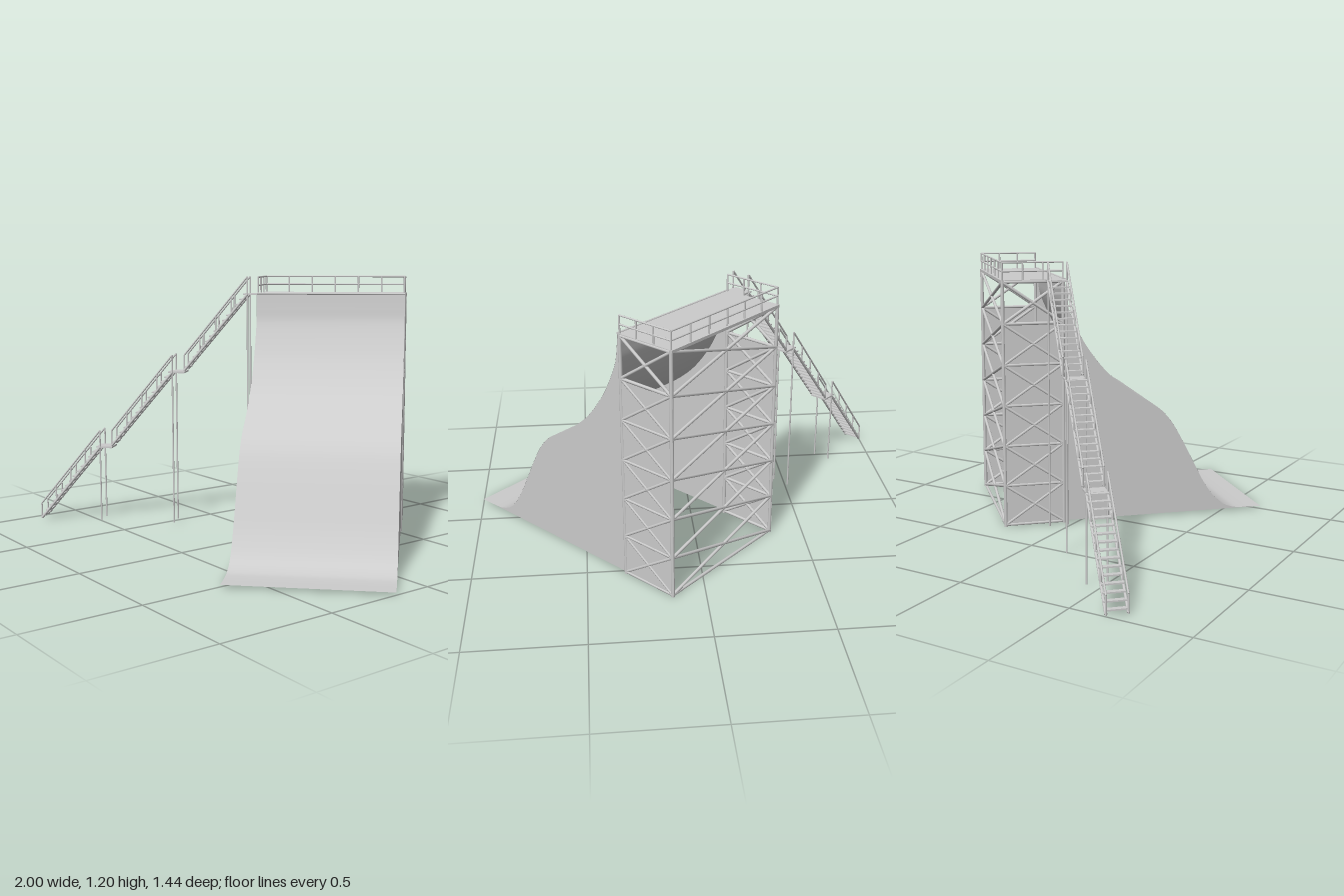
import * as THREE from 'three';

export function createModel() {
  const model = new THREE.Group();
  model.name = 'ski jump ramp tower';
  // Working frame: x across the ramp, z down the ramp, origin under the front deck edge
  const frame = new THREE.Group();
  frame.name = 'structure';
  frame.position.set(0.09, 0, -0.2775);
  frame.rotation.y = 0.767;
  model.add(frame);

  const grey = new THREE.MeshStandardMaterial({ color: 0xcccccc, side: THREE.DoubleSide });
  grey.name = 'light grey';

  const HALF = 0.344, DEPTH = 0.286, TOP = 1.12, RAIL = 1.196;

  function add(name, geometry, parent = frame) {
    const mesh = new THREE.Mesh(geometry, grey);
    mesh.name = name;
    parent.add(mesh);
    return mesh;
  }
  function group(name) {
    const g = new THREE.Group();
    g.name = name;
    frame.add(g);
    return g;
  }
  // Round bar between two points
  function bar(name, a, b, r, parent) {
    const p = new THREE.Vector3(...a), q = new THREE.Vector3(...b);
    const d = q.clone().sub(p);
    const mesh = add(name, new THREE.CylinderGeometry(r, r, d.length(), 8), parent);
    mesh.position.copy(p).add(q).multiplyScalar(0.5);
    mesh.quaternion.setFromUnitVectors(new THREE.Vector3(0, 1, 0), d.normalize());
  }
  function box(name, size, pos, parent) {
    add(name, new THREE.BoxGeometry(...size), parent).position.set(...pos);
  }

  // Ramp profile as (z, y)
  const curve = new THREE.SplineCurve([
    [0, 1.115], [0.007, 1.05], [0.02, 0.98], [0.069, 0.87], [0.118, 0.79], [0.186, 0.705],
    [0.26, 0.638], [0.34, 0.581], [0.432, 0.525], [0.48, 0.48], [0.517, 0.43], [0.565, 0.345],
    [0.611, 0.255], [0.67, 0.145], [0.735, 0.058], [0.8, 0.022], [0.86, 0.013], [0.956, 0.011],
  ].map(([z, y]) => new THREE.Vector2(z, y)));
  const profile = curve.getPoints(68);

  // Curved riding surface
  const surface = new THREE.PlaneGeometry(2 * HALF, 1, 1, profile.length - 1);
  const pos = surface.attributes.position;
  for (let i = 0; i < pos.count; i++) {
    const p = profile[Math.floor(i / 2)];
    pos.setXYZ(i, pos.getX(i), p.y, p.x);
  }
  surface.computeVertexNormals();
  add('ramp surface', surface);

  // Side walls below the ramp, running back along the tower
  const wall = new THREE.Shape([
    new THREE.Vector2(-DEPTH, 0.011),
    new THREE.Vector2(-DEPTH, 0.92),
    new THREE.Vector2(0, 0.92),
    ...profile,
  ]);
  for (const s of [-1, 1]) {
    const side = add(s < 0 ? 'right side wall' : 'left side wall', new THREE.ShapeGeometry(wall));
    side.geometry.rotateY(-Math.PI / 2);
    side.position.x = s * (HALF - 0.001);
  }

  // Deck and coping
  box('deck', [2 * HALF, 0.012, DEPTH], [0, TOP - 0.006, -DEPTH / 2], frame);
  bar('coping', [-HALF, TOP, 0], [HALF, TOP, 0], 0.005, frame);

  // Tower frame: corner posts, rungs and cross braces
  const tower = group('tower frame');
  const zf = -0.008, zb = -DEPTH + 0.008, xs = HALF - 0.004;
  const BAYS = 6, step = (TOP - 0.018) / BAYS;
  const level = i => 0.009 + i * step;
  for (const s of [-1, 1]) {
    for (const z of [zf, zb]) bar('corner post', [s * xs, 0, z], [s * xs, TOP, z], 0.008, tower);
    for (let i = 0; i <= BAYS; i++) {
      const y = level(i);
      bar('side rung', [s * xs, y, zf], [s * xs, y, zb], 0.007, tower);
      if (i === BAYS) continue;
      bar('side brace', [s * xs, y, zf], [s * xs, y + step, zb], 0.007, tower);
      bar('side brace', [s * xs, y, zb], [s * xs, y + step, zf], 0.007, tower);
    }
  }
  for (let i = 0; i < BAYS; i++) {
    bar('back brace', [-xs, level(i), zb], [xs, level(i + 1), zb], 0.007, tower);
    bar('back brace', [xs, level(i), zb], [-xs, level(i + 1), zb], 0.007, tower);
  }
  for (const y of [level(0), level(BAYS)]) bar('back beam', [-xs, y, zb], [xs, y, zb], 0.007, tower);

  // Deck railing on the back and both sides
  const railing = group('deck railing');
  function rail(a, b, segments) {
    const at = (t, y) => [a[0] + (b[0] - a[0]) * t, y, a[1] + (b[1] - a[1]) * t];
    for (const y of [RAIL, 1.158]) bar('rail', at(0, y), at(1, y), 0.004, railing);
    for (let i = 0; i <= segments; i++) {
      bar('rail post', at(i / segments, TOP - 0.01), at(i / segments, RAIL), 0.004, railing);
    }
  }
  rail([-xs, zb], [xs, zb], 6);
  rail([xs, zb], [xs, zf], 3);
  rail([-xs, zb], [-xs, zf], 3);

  // Stairs: three flights, each ending in a landing on two legs
  const stairs = group('stairs');
  const RUN = 0.306, LANDING = 0.06, RISE = TOP / 3, STEPS = 15;
  const sides = [-0.084, 0], mid = -0.042;
  for (let f = 0; f < 3; f++) {
    const x0 = -1.428 + f * (RUN + LANDING), x1 = x0 + RUN;
    const y0 = f * RISE, y1 = y0 + RISE;
    for (let i = 1; i <= STEPS; i++) {
      const x = x0 + RUN * (i - 0.5) / STEPS;
      box('tread', [RUN / STEPS, 0.006, 0.088], [x, y0 + RISE * i / STEPS - 0.004, mid], stairs);
    }
    const len = f === 2 ? -HALF - x1 : LANDING;
    box('landing', [len, 0.008, 0.088], [x1 + len / 2, y1 - 0.004, mid], stairs);
    for (const z of sides) {
      bar('stringer', [x0, y0 + 0.007, z], [x1, y1 - 0.004, z], 0.006, stairs);
      bar('handrail', [x0, y0 + 0.08, z], [x1, y1 + 0.078, z], 0.004, stairs);
      for (let i = 0; i < 4; i++) {
        const x = x0 + RUN * i / 4, y = y0 + RISE * i / 4;
        bar('baluster', [x, y + 0.003, z], [x, y + 0.08, z], 0.004, stairs);
      }
      bar('landing leg', [x1, 0.005, z], [x1, y1 + 0.078, z], 0.004, stairs);
    }
  }
  return model;
}
